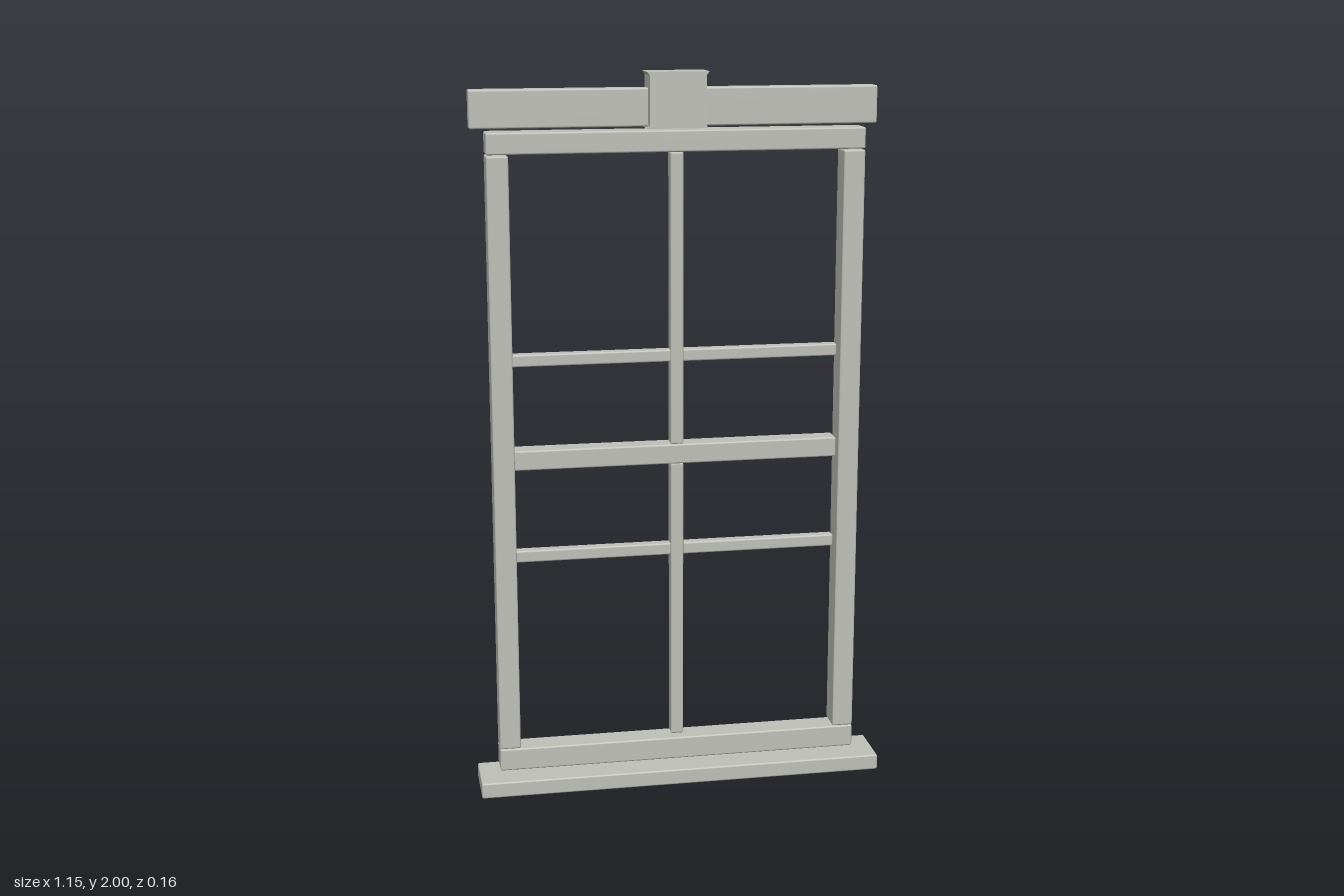
import * as THREE from 'three';
import { RoundedBoxGeometry } from 'three/addons/geometries/RoundedBoxGeometry.js';

export function createModel() {
  const model = new THREE.Group();
  model.name = 'windowFrame';
  const stone = new THREE.MeshStandardMaterial({ color: 0xbfc0b8 });
  stone.name = 'pale grey paint';

  // Softly eased bar given by its extents on each axis
  function bar(name, [x0, x1], [y0, y1], [z0, z1], radius = 0.005) {
    const geo = new RoundedBoxGeometry(x1 - x0, y1 - y0, z1 - z0, 2, radius);
    const mesh = new THREE.Mesh(geo, stone);
    mesh.name = name;
    mesh.position.set((x0 + x1) / 2, (y0 + y1) / 2, (z0 + z1) / 2);
    model.add(mesh);
  }

  const frameZ = [-0.062, 0.012];

  // Sill, lintel and outer frame
  bar('sill', [-0.573, 0.573], [0.003, 0.048], [-0.071, 0.081]);
  bar('bottomRail', [-0.514, 0.514], [0.053, 0.117], frameZ);
  bar('topRail', [-0.514, 0.514], [1.79, 1.848], frameZ);
  bar('lintel', [-0.554, 0.554], [1.855, 1.957], [-0.071, -0.024]);
  bar('rightStile', [-0.514, -0.455], [0.118, 1.787], frameZ);
  bar('leftStile', [0.455, 0.514], [0.118, 1.787], frameZ);

  // Meeting rail between the two sashes
  bar('meetingRail', [-0.454, 0.454], [0.925, 0.981], [-0.072, -0.012]);

  // Glazing bars of the lower and upper sash
  const sashes = [
    ['lower', [0.118, 0.926], [0.657, 0.691]],
    ['upper', [0.98, 1.787], [1.213, 1.247]],
  ];
  for (const [sash, uprightY, crossY] of sashes) {
    bar(sash + 'UprightGlazingBar', [-0.018, 0.018], uprightY, [-0.058, -0.016]);
    bar(sash + 'CrossGlazingBar', [-0.454, 0.454], crossY, [-0.056, -0.024]);
  }

  // Keystone with thin flared lips at its top and bottom
  const half = [[0.083, 1.851], [0.077, 1.858], [0.077, 1.991], [0.084, 2.0]];
  const outline = [...half, ...half.map(([x, y]) => [-x, y]).reverse()];
  const shape = new THREE.Shape(outline.map(([x, y]) => new THREE.Vector2(x, y)));
  const keystoneGeo = new THREE.ExtrudeGeometry(shape, { depth: 0.085, bevelEnabled: false });
  const keystone = new THREE.Mesh(keystoneGeo, stone);
  keystone.name = 'keystone';
  keystone.position.z = -0.081;
  model.add(keystone);

  return model;
}
